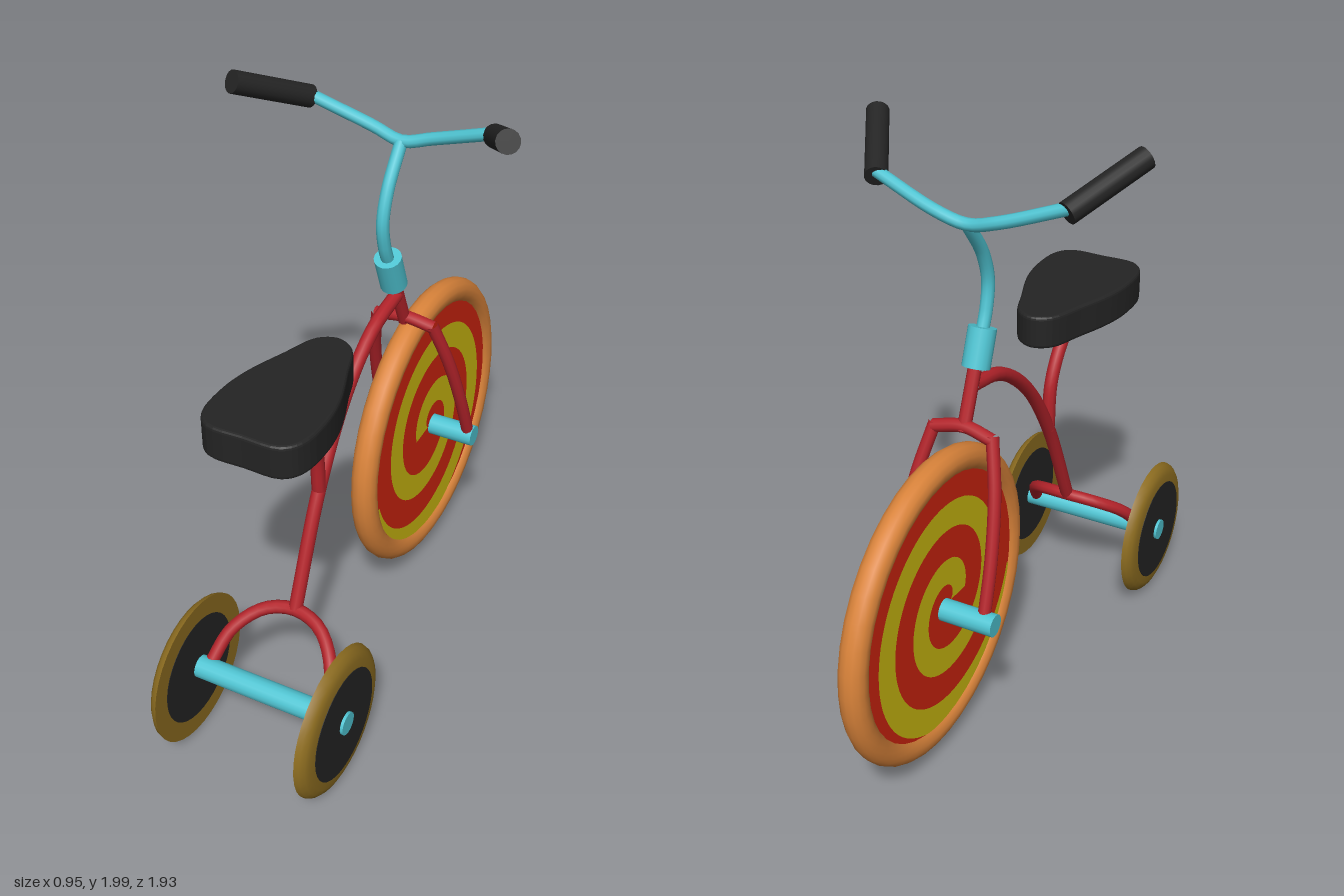
import * as THREE from 'three';

export function createModel() {
  const model = new THREE.Group();
  const paint = (name, color, side = THREE.FrontSide) => {
    const m = new THREE.MeshStandardMaterial({ color, side });
    m.name = name;
    return m;
  };
  const cyan = paint('cyan metal', 0x4fc4d2);
  const red = paint('frame red', 0xb3232a);
  const black = paint('black rubber', 0x242424);
  const orange = paint('orange tyre', 0xd9833a);
  const brown = paint('brown tyre', 0x8c6c20);
  const discRed = paint('spiral red', 0xd0240f);
  const discYellow = paint('spiral yellow', 0xcdbb10, THREE.DoubleSide);

  const V = (p) => new THREE.Vector3(...p);
  const add = (name, geometry, material, parent = model) => {
    const mesh = new THREE.Mesh(geometry, material);
    mesh.name = name;
    parent.add(mesh);
    return mesh;
  };
  // Smooth bent tube through a few points
  const tube = (name, points, radius, material) => add(name,
    new THREE.TubeGeometry(new THREE.CatmullRomCurve3(points.map(V)), 24, radius, 10), material);
  // Straight rod between two points
  const rod = (name, a, b, radius, material, sides = 16) => {
    const from = V(a), to = V(b), dir = to.clone().sub(from);
    const mesh = add(name, new THREE.CylinderGeometry(radius, radius, dir.length(), sides), material);
    mesh.position.copy(from).add(to).multiplyScalar(0.5);
    mesh.quaternion.setFromUnitVectors(new THREE.Vector3(0, 1, 0), dir.normalize());
    return mesh;
  };

  // Big wheel: round tyre and a red disc
  const wheel = new THREE.Group();
  wheel.name = 'bigWheel';
  wheel.position.set(0, 0.58, -0.44);
  model.add(wheel);
  add('bigTyre', new THREE.TorusGeometry(0.48, 0.045, 14, 40).rotateY(Math.PI / 2), orange, wheel);
  add('bigDisc', new THREE.CylinderGeometry(0.45, 0.45, 0.054, 40).rotateZ(Math.PI / 2), discRed, wheel);

  // Yellow spiral band on each face, trimmed to the disc
  const spiral = (x) => {
    const position = [], index = [], steps = 150;
    for (let i = 0; i <= steps; i++) {
      const a = -2.9 + (12.4 * i) / steps;
      const mid = 0.365 - (0.2 * a) / (2 * Math.PI);
      for (const half of [-0.047, 0.047]) {
        const r = Math.max(mid + half, 0.01);
        let y = r * Math.sin(a), z = 0.024 - r * Math.cos(a);
        const k = Math.min(1, 0.446 / Math.hypot(y, z));
        position.push(x, y * k, z * k);
      }
      if (i < steps) {
        const n = 2 * i;
        if (x > 0) index.push(n, n + 1, n + 2, n + 1, n + 3, n + 2);
        else index.push(n, n + 2, n + 1, n + 1, n + 2, n + 3);
      }
    }
    const g = new THREE.BufferGeometry();
    g.setAttribute('position', new THREE.Float32BufferAttribute(position, 3));
    g.setIndex(index);
    g.computeVertexNormals();
    return g;
  };
  for (const s of [1, -1]) add('spiralBand', spiral(s * 0.0285), discYellow, wheel);
  rod('pedalAxle', [-0.21, 0.568, -0.44], [0.19, 0.568, -0.44], 0.037, cyan);

  // Small wheels: flat inside, rounded shoulder outside
  const lathe = (points) => new THREE.LatheGeometry(
    points.map((p) => new THREE.Vector2(...p)), 36).rotateZ(-Math.PI / 2);
  for (const s of [1, -1]) {
    const small = new THREE.Group();
    small.name = s > 0 ? 'leftSmallWheel' : 'rightSmallWheel';
    small.position.set(0, 0.26, 0.72);
    small.rotation.y = s > 0 ? 0 : Math.PI;
    model.add(small);
    add('smallTyre', lathe([[0.25, 0.245], [0.245, 0.261], [0.231, 0.274], [0.212, 0.282], [0.18, 0.284]]), brown, small);
    add('smallTyreBack', lathe([[0.18, 0.245], [0.25, 0.245]]), brown, small);
    add('smallDisc', new THREE.CylinderGeometry(0.185, 0.185, 0.042, 36)
      .rotateZ(Math.PI / 2).translate(0.2645, 0, 0), black, small);
  }
  rod('smallWheelAxle', [-0.295, 0.263, 0.715], [0.295, 0.263, 0.715], 0.038, cyan);

  // Frame: backbone, seat support and arch over the axle
  tube('backbone', [[0, 1.24, -0.19], [0, 1.2, -0.02], [0, 1.06, 0.17], [0, 0.825, 0.34], [0, 0.45, 0.515]], 0.023, red);
  tube('seatSupport', [[0, 0.81, 0.345], [0, 0.99, 0.365], [0, 1.12, 0.455], [0, 1.175, 0.56], [0, 1.2, 0.64]], 0.023, red);
  tube('axleArch', [[-0.215, 0.27, 0.705], [-0.18, 0.37, 0.615], [-0.1, 0.43, 0.54], [0, 0.447, 0.515],
    [0.1, 0.43, 0.54], [0.18, 0.37, 0.615], [0.215, 0.27, 0.705]], 0.022, red);

  // Fork: crown and two bowed legs
  tube('forkCrown', [[-0.105, 1.105, -0.255], [0, 1.125, -0.247], [0.105, 1.105, -0.255]], 0.022, red);
  for (const s of [1, -1]) {
    tube('forkLeg', [[s * 0.1, 1.118, -0.25], [s * 0.138, 0.95, -0.308],
      [s * 0.16, 0.76, -0.373], [s * 0.168, 0.57, -0.44]], 0.021, red);
  }
  rod('forkStem', [0, 1.11, -0.25], [0, 1.32, -0.163], 0.022, red, 10);

  // Steering collar, curved stem and handlebar
  rod('collar', [0, 1.291, -0.168], [0, 1.409, -0.123], 0.045, cyan);
  tube('handlebarStem', [[0, 1.38, -0.133], [0, 1.46, -0.1], [0, 1.55, -0.087], [0, 1.65, -0.12], [0, 1.77, -0.208]], 0.021, cyan);
  tube('handlebar', [[-0.315, 1.873, -0.19], [-0.1, 1.798, -0.217], [0, 1.772, -0.21],
    [0.1, 1.798, -0.217], [0.315, 1.873, -0.19]], 0.02, cyan);
  for (const s of [1, -1]) {
    rod('grip', [s * 0.308, 1.86, -0.2], [s * 0.442, 1.97, 0.033], 0.036, black);
  }

  // Teardrop seat
  const half = [[0.055, 0.24], [0.1, 0.35], [0.15, 0.49], [0.166, 0.6], [0.155, 0.71], [0.115, 0.754]];
  const outline = [[0, 0.212], ...half, [0, 0.758], ...half.slice().reverse().map(([x, z]) => [-x, z])];
  const curve = new THREE.CatmullRomCurve3(outline.map(([x, z]) => V([x, z, 0])), true);
  const shape = new THREE.Shape(curve.getPoints(56).slice(0, -1).map((p) => new THREE.Vector2(p.x, p.y)));
  const seat = new THREE.ExtrudeGeometry(shape, {
    depth: 0.09, bevelThickness: 0.012, bevelSize: 0.01, bevelSegments: 3,
  });
  add('seat', seat.rotateX(Math.PI / 2).translate(0, 1.29, 0), black);

  return model;
}
